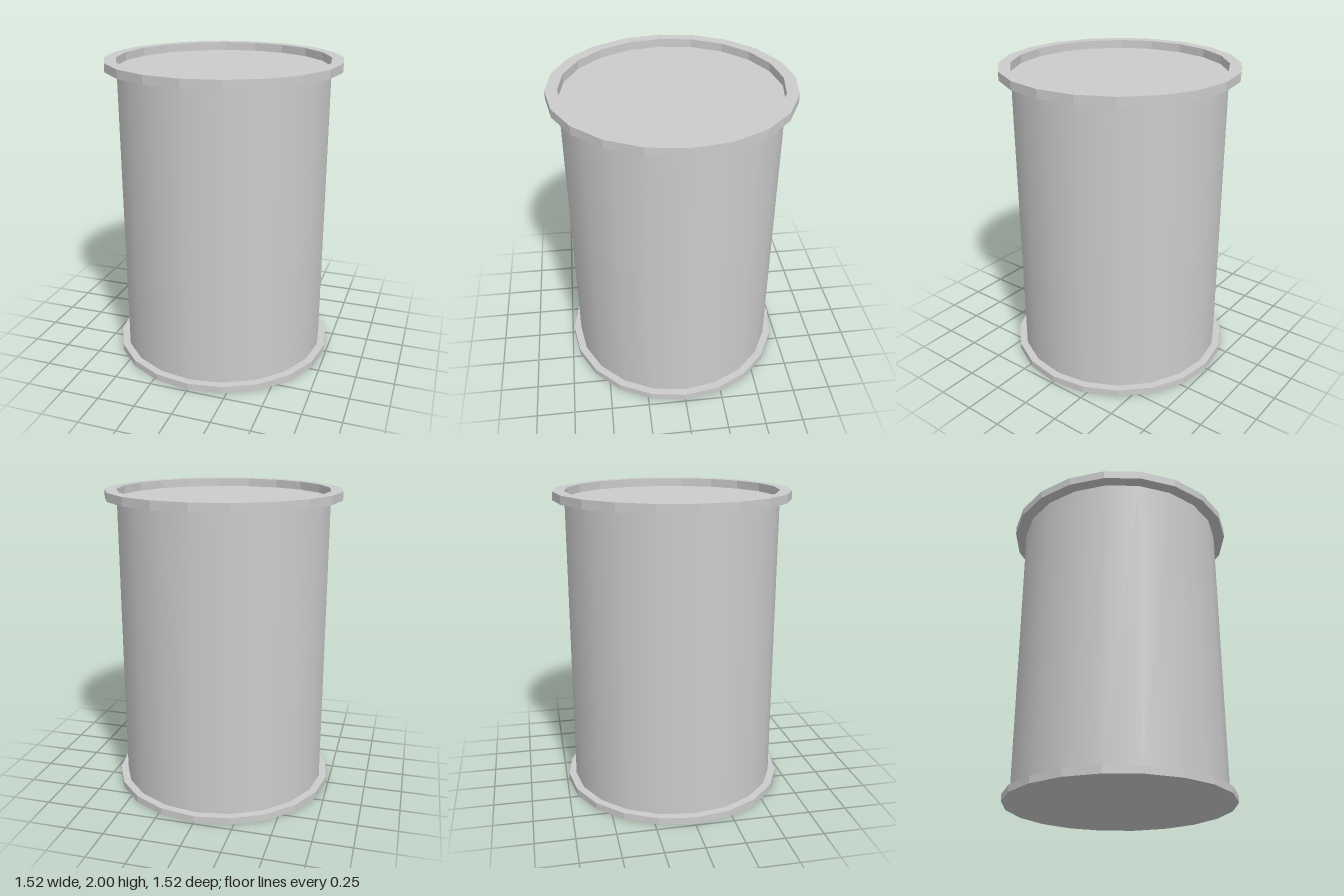
import * as THREE from 'three';

const SIDES = 20;
const BODY_R = 0.685;

export function createModel() {
  const group = new THREE.Group();
  const smooth = new THREE.MeshStandardMaterial({ color: 0xcccccc });
  const flat = new THREE.MeshStandardMaterial({ color: 0xcccccc, flatShading: true });

  const add = (name, geometry, material, y = 0) => {
    const mesh = new THREE.Mesh(geometry, material);
    mesh.name = name;
    mesh.position.y = y;
    group.add(mesh);
  };

  // Bottom flange
  add('baseFlange', new THREE.CylinderGeometry(0.735, 0.735, 0.045, SIDES), flat, 0.0225);

  // Smooth drum wall; its cap is the floor of the recessed lid
  add('body', new THREE.CylinderGeometry(BODY_R, BODY_R, 1.9, SIDES), smooth, 0.995);

  // Raised ring around the lid, a closed rectangular section
  const section = [
    [BODY_R, 1.945], [0.76, 1.945], [0.76, 2], [BODY_R, 2], [BODY_R, 1.945],
  ].map(([r, y]) => new THREE.Vector2(r, y));
  add('topRim', new THREE.LatheGeometry(section, SIDES), flat);

  return group;
}
